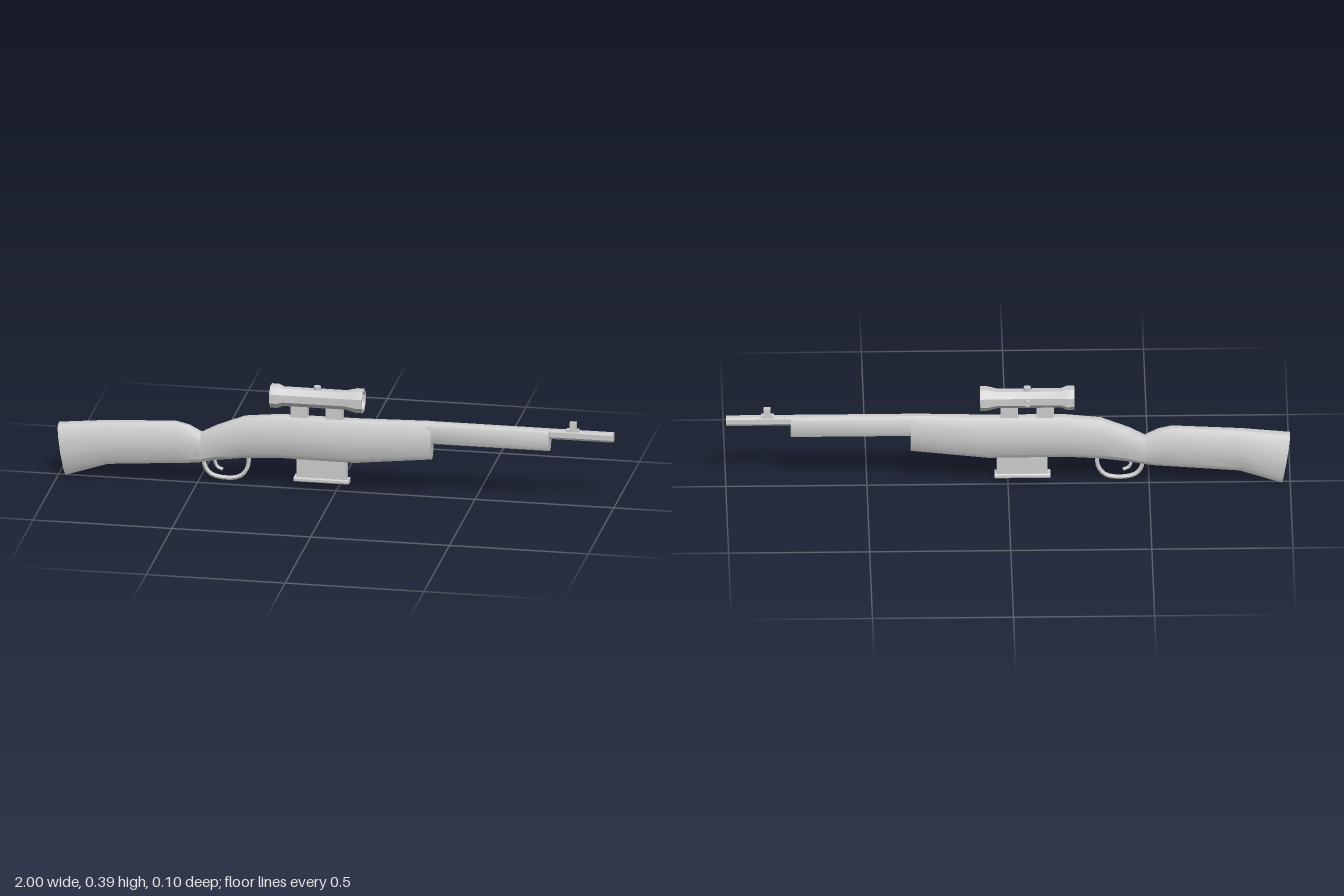
import * as THREE from 'three';
import { toCreasedNormals } from 'three/addons/utils/BufferGeometryUtils.js';

const material = new THREE.MeshStandardMaterial({ color: 0xcccccc });

function add(group, name, geometry, crease = 0.45) {
  const mesh = new THREE.Mesh(toCreasedNormals(geometry, crease), material);
  mesh.name = name;
  group.add(mesh);
  return mesh;
}

// Half outlines as [width fraction, height fraction], from bottom to top
const STOCK = [[0, 0], [0.5, 0.04], [0.8, 0.16], [1, 0.5], [0.87, 0.8], [0.58, 0.95], [0.25, 1]];
const GUARD = [[0.3, 0], [0.75, 0.08], [1, 0.3], [1, 0.75], [0.8, 0.93], [0.4, 1]];
const BARREL = [[0.55, 0], [1, 0.25], [1, 0.8], [0.7, 1]];
const BLOCK = [[1, 0], [1, 1]];
const LIP = [[0.8, 0], [1, 0.25], [1, 0.75], [0.8, 1]];

// Skin a mirrored half outline along stations [xBottom, yBottom, xTop, yTop, halfWidth]
function loft(half, stations) {
  const ring = [...half, ...half.filter(p => p[0] > 0).reverse().map(([w, t]) => [-w, t])];
  const n = ring.length;
  const pos = [], index = [];
  for (const [xb, yb, xt, yt, hw] of stations) {
    for (const [w, t] of ring) pos.push(xb + (xt - xb) * t, yb + (yt - yb) * t, w * hw);
  }
  for (let i = 0; i < stations.length - 1; i++) {
    for (let j = 0; j < n; j++) {
      const a = i * n + j, b = i * n + (j + 1) % n;
      index.push(a, a + n, b, b, a + n, b + n);
    }
  }
  const last = (stations.length - 1) * n;
  for (let j = 1; j < n - 1; j++) {
    index.push(0, j, j + 1, last, last + j + 1, last + j);
  }
  const g = new THREE.BufferGeometry();
  g.setAttribute('position', new THREE.Float32BufferAttribute(pos, 3));
  g.setIndex(index);
  g.computeVertexNormals();
  return g;
}

const prism = (half, x0, x1, y0, y1, hw) => loft(half, [[x0, y0, x0, y1, hw], [x1, y0, x1, y1, hw]]);

// Flattened tube through points in the xy plane
function bentRod(points, radius) {
  const curve = new THREE.CatmullRomCurve3(points.map(([x, y]) => new THREE.Vector3(x, y, 0)));
  return new THREE.TubeGeometry(curve, 18, radius, 6);
}

export function createModel() {
  const rifle = new THREE.Group();
  rifle.name = 'rifle';

  // Wooden stock, from the butt through the grip to the fore-end
  add(rifle, 'stock', loft(STOCK, [
    [-0.97, 0.003, -1.0, 0.195, 0.051],
    [-0.82, 0.053, -0.83, 0.213, 0.042],
    [-0.56, 0.073, -0.58, 0.227, 0.038],
    [-0.53, 0.075, -0.53, 0.216, 0.035],
    [-0.49, 0.08, -0.485, 0.193, 0.031],
    [-0.43, 0.093, -0.43, 0.222, 0.037],
    [-0.33, 0.107, -0.33, 0.262, 0.042],
    [-0.2, 0.115, -0.2, 0.276, 0.043],
    [0.07, 0.113, 0.07, 0.277, 0.042],
    [0.345, 0.143, 0.345, 0.285, 0.034],
  ]));

  // Barrel, handguard and front sight
  add(rifle, 'barrel', prism(BARREL, 0.33, 1.0, 0.25, 0.284, 0.013));
  add(rifle, 'handguard', prism(GUARD, 0.33, 0.77, 0.204, 0.282, 0.027));
  add(rifle, 'frontSightBase', prism(BLOCK, 0.83, 0.875, 0.27, 0.289, 0.011));
  add(rifle, 'frontSightPost', prism(BLOCK, 0.842, 0.866, 0.28, 0.315, 0.01));

  // Magazine with a wider floor plate
  add(rifle, 'magazine', prism(BLOCK, -0.14, 0.04, 0.045, 0.15, 0.017));
  add(rifle, 'magazineFloorPlate', prism(LIP, -0.15, 0.048, 0.035, 0.052, 0.022));

  // Trigger and its guard
  add(rifle, 'triggerGuard', bentRod([[-0.475, 0.11], [-0.474, 0.07], [-0.452, 0.04], [-0.4, 0.028],
    [-0.347, 0.037], [-0.32, 0.07], [-0.314, 0.125]], 0.008), 0.9);
  add(rifle, 'trigger', bentRod([[-0.435, 0.11], [-0.436, 0.085], [-0.427, 0.067], [-0.408, 0.058]], 0.006), 0.9);

  // Octagonal scope, hollowed at both ends with domed lenses
  const scope = new THREE.Group();
  scope.name = 'scope';
  scope.position.set(-0.068, 0.347, 0);
  rifle.add(scope);
  const profile = [[0, -0.15], [0.03, -0.145], [0.034, -0.166], [0.043, -0.167], [0.044, -0.142],
    [0.035, -0.12], [0.035, 0.105], [0.044, 0.142], [0.044, 0.167], [0.034, 0.166], [0.03, 0.145], [0, 0.152]];
  const body = new THREE.LatheGeometry(profile.map(([r, y]) => new THREE.Vector2(r, y)), 8, Math.PI / 8);
  body.rotateZ(-Math.PI / 2);
  add(scope, 'scopeTube', body);

  // Top and side adjustment knobs
  for (const [name, tilt] of [['topKnob', 0], ['sideKnob', -Math.PI / 2]]) {
    const knob = new THREE.CylinderGeometry(0.013, 0.013, 0.018, 8);
    knob.translate(0, 0.036, 0);
    knob.rotateX(tilt);
    add(scope, name, knob);
  }

  // Scope mounts
  for (const x of [-0.132, -0.005]) {
    add(rifle, 'scopeMount', prism(BLOCK, x - 0.031, x + 0.031, 0.26, 0.325, 0.014));
  }

  return rifle;
}
